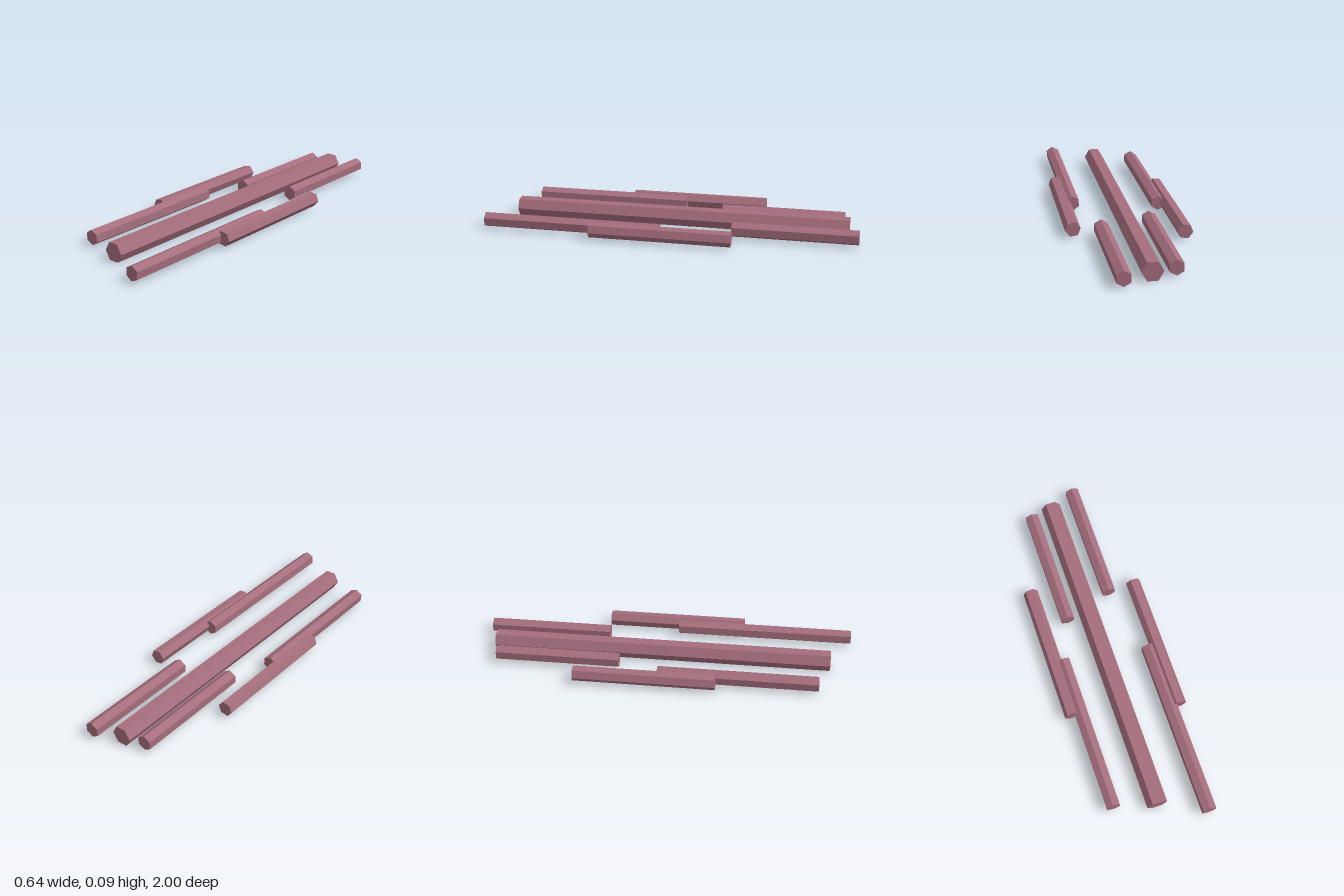
import * as THREE from 'three';

export function createModel() {
  const group = new THREE.Group();
  const rose = new THREE.MeshStandardMaterial({ color: 0xa56e7d, flatShading: true });
  rose.name = 'dustyRose';

  // A six-sided rod lying along z, a corner pointing up when tilt is 0 degrees
  function addRod(name, x, y, radius, zBack, zFront, tilt) {
    const geometry = new THREE.CylinderGeometry(radius, radius, zFront - zBack, 6);
    geometry.rotateX(Math.PI / 2);
    geometry.rotateZ(THREE.MathUtils.degToRad(tilt));
    const rod = new THREE.Mesh(geometry, rose);
    rod.name = name;
    rod.position.set(x, y, (zBack + zFront) / 2);
    group.add(rod);
  }

  // Thick central rod, flat side down
  addRod('centralRod', -0.013, 0.0495, 0.0545, -0.945, 0.885, 30);

  // Thin rods around it: name, x, back z, front z, tilt
  const thinRods = [
    ['rightBackRod', -0.135, -0.915, -0.245, 0],
    ['leftBackRod', 0.133, -1.0, -0.332, 0],
    ['rightFrontRod', -0.233, -0.026, 0.825, 4.5],
    ['leftFrontRod', 0.232, 0.044, 1.0, -4.5],
    ['rightOuterRod', -0.282, -0.47, 0.286, -21.5],
    ['leftOuterRod', 0.281, -0.348, 0.409, 21.5],
  ];
  for (const [name, x, zBack, zFront, tilt] of thinRods) {
    addRod(name, x, 0.049, 0.041, zBack, zFront, tilt);
  }

  return group;
}
